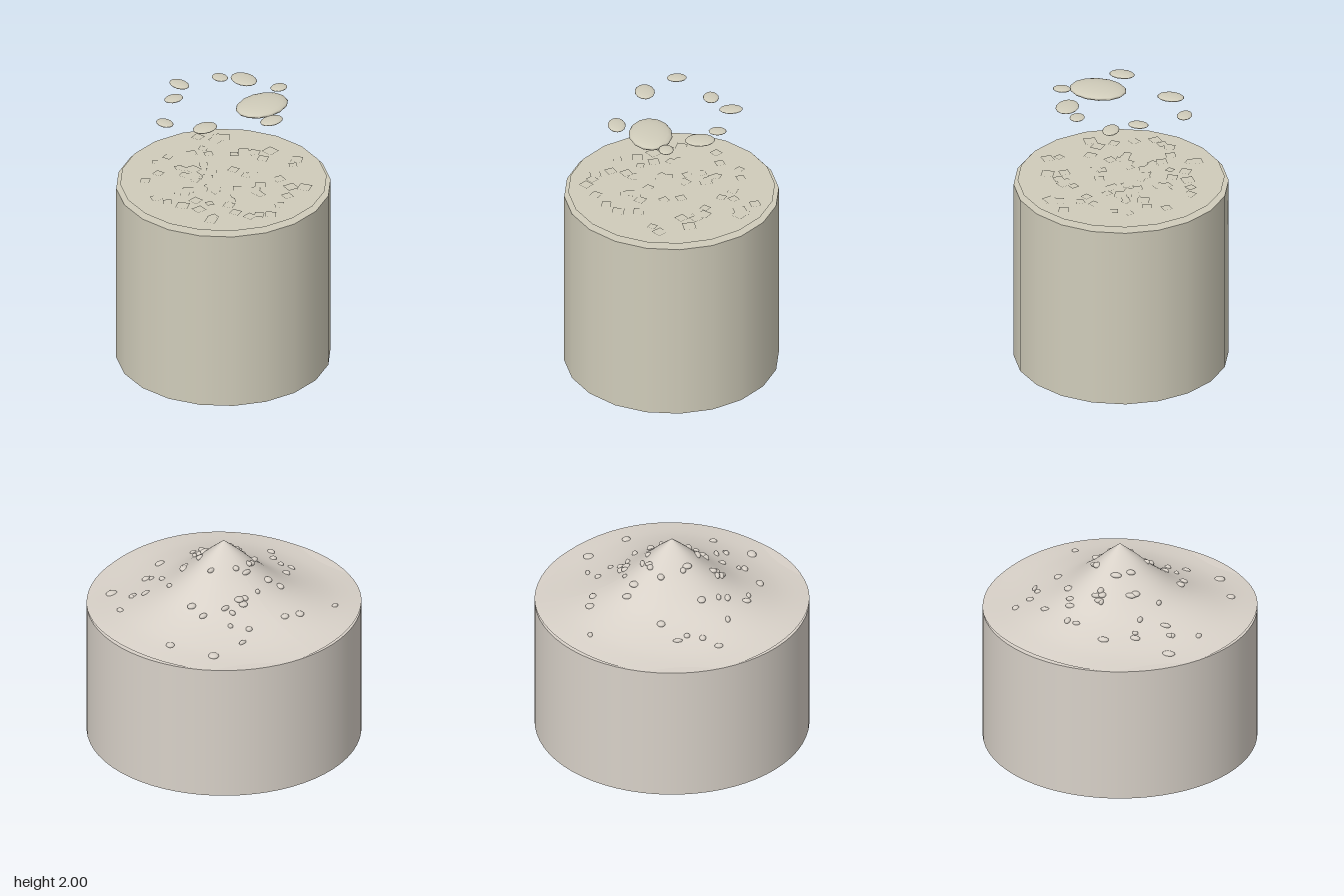
import * as THREE from 'three';

const STONE = 0xd8d1c8, CREAM = 0xd0ccba;

function seeded(seed) {
  return () => {
    seed = (seed * 16807) % 2147483647;
    return seed / 2147483647;
  };
}

export function createModel() {
  const model = new THREE.Group();
  const stone = new THREE.MeshStandardMaterial({ color: STONE });
  const cream = new THREE.MeshStandardMaterial({ color: CREAM });
  const thinStone = new THREE.MeshStandardMaterial({ color: STONE, side: THREE.DoubleSide });
  const thinCream = new THREE.MeshStandardMaterial({ color: CREAM, side: THREE.DoubleSide });

  function add(parent, name, geometry, material, x = 0, y = 0, z = 0) {
    const mesh = new THREE.Mesh(geometry, material);
    mesh.name = name;
    mesh.position.set(x, y, z);
    parent.add(mesh);
    return mesh;
  }
  function group(name) {
    const g = new THREE.Group();
    g.name = name;
    model.add(g);
    return g;
  }

  // Lower drum
  add(model, 'lowerDrum', new THREE.CylinderGeometry(0.382, 0.382, 0.4, 64), stone, 0, 0.2, 0);

  // Mound: a concave peak whose skirt ripples gently around the rim
  const profile = new THREE.SplineCurve([
    [0, 0.6], [0.05, 0.558], [0.1, 0.512], [0.16, 0.467], [0.22, 0.438], [0.3, 0.415], [0.382, 0.404],
  ].map(([r, y]) => new THREE.Vector2(r, y))).getPoints(28);
  profile[0].x = 0;
  const ripple = (x, z) => {
    const r = Math.hypot(x, z) / 0.382, a = Math.atan2(z, x);
    return 0.009 * Math.sin(Math.PI * Math.min(r, 1) * 0.75) * Math.cos(3 * (a - Math.PI));
  };
  const mound = new THREE.LatheGeometry(profile.reverse(), 64);
  const p = mound.attributes.position;
  for (let i = 0; i < p.count; i++) p.setY(i, p.getY(i) + ripple(p.getX(i), p.getZ(i)));
  mound.computeVertexNormals();
  add(model, 'mound', mound, thinStone);

  const moundHeight = (x, z) => {
    const r = Math.hypot(x, z);
    let i = 1;
    while (i < profile.length - 1 && profile[i].x > r) i++;
    const a = profile[i - 1], b = profile[i];
    return THREE.MathUtils.mapLinear(r, a.x, b.x, a.y, b.y) + ripple(x, z);
  };

  // Pebbles lying on the mound: x, z, half width, half depth
  const ball = new THREE.SphereGeometry(1, 14, 10);
  const pebbles = group('moundPebbles');
  const rand = seeded(4711);
  const spots = [
    [-0.207, -0.238, 0.018, 0.013], [-0.29, 0.105, 0.012, 0.012], [-0.227, 0.215, 0.015, 0.015],
    [0.197, 0.243, 0.01, 0.007], [0.27, -0.11, 0.009, 0.012], [-0.265, -0.135, 0.008, 0.011],
  ];
  for (let i = 0; i < 50; i++) {
    const a = rand() * Math.PI * 2, r = 0.06 + 0.2 * rand();
    spots.push([r * Math.cos(a), r * Math.sin(a), 0.006 + 0.01 * rand(), 0.006 + 0.008 * rand()]);
  }
  for (const [x, z, rx, rz] of spots) {
    add(pebbles, 'pebble', ball, stone, x, moundHeight(x, z), z).scale.set(rx, 0.007, rz);
  }

  // Upper drum with a thin disc hovering just above it
  add(model, 'upperDrum', new THREE.CylinderGeometry(0.299, 0.299, 0.54, 20), cream, -0.003, 1.47, 0.001);
  const disc = new THREE.CircleGeometry(0.288, 20).rotateX(-Math.PI / 2);
  add(model, 'topDisc', disc, thinCream, -0.003, 1.753, 0.001);

  // Square flakes scattered flat on the disc
  const flakes = group('flakes');
  const flat = new THREE.PlaneGeometry(1, 1).rotateX(-Math.PI / 2);
  for (let i = 0; i < 120; i++) {
    const a = rand() * Math.PI * 2, r = 0.04 + 0.205 * Math.pow(rand(), 0.8);
    const flake = add(flakes, 'flake', flat, thinCream, r * Math.cos(a), 1.754 + i * 0.00002, r * Math.sin(a));
    const s = 0.02 + 0.015 * rand();
    flake.scale.set(s, 1, s);
    flake.rotation.y = rand() * Math.PI;
  }

  // Flattened stones floating above: x, z, half width, half depth, half height
  const stones = group('floatingStones');
  for (const [x, z, rx, rz, ry] of [
    [0.082, 0.066, 0.081, 0.061, 0.013], [-0.128, 0.066, 0.038, 0.028, 0.006],
    [0.038, 0.157, 0.036, 0.025, 0.006], [0.176, 0.03, 0.025, 0.021, 0.005],
    [0.133, -0.068, 0.032, 0.042, 0.006], [0.09, -0.12, 0.021, 0.025, 0.004],
    [-0.02, -0.166, 0.023, 0.033, 0.005], [-0.085, -0.115, 0.029, 0.022, 0.005],
    [-0.194, -0.028, 0.021, 0.028, 0.005],
  ]) {
    add(stones, 'floatingStone', ball, cream, x, ry > 0.01 ? 1.987 : 1.994, z).scale.set(rx, ry, rz);
  }
  return model;
}
